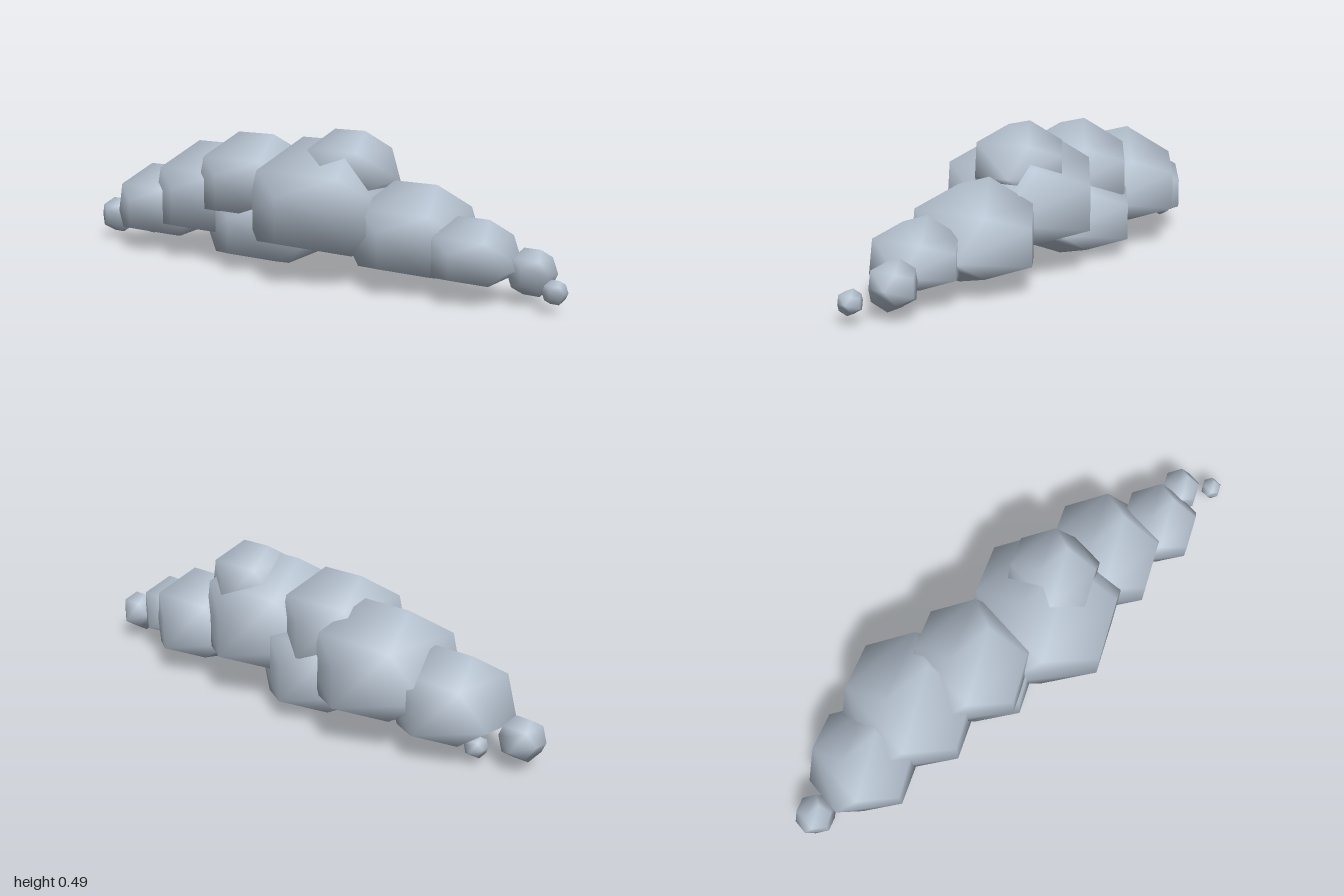
import * as THREE from 'three';
import { mergeVertices } from 'three/addons/utils/BufferGeometryUtils.js';

// Smoothly shaded dodecahedron of unit half-width; underside squashed by a factor
function puffGeometry(squash) {
  const raw = new THREE.DodecahedronGeometry(1 / 0.934, 0);
  raw.deleteAttribute('normal');
  raw.deleteAttribute('uv');
  const geo = mergeVertices(raw, 1e-3);
  const pos = geo.attributes.position;
  for (let i = 0; i < pos.count; i++) {
    if (pos.getY(i) < 0) pos.setY(i, pos.getY(i) * squash);
  }
  geo.computeVertexNormals();
  return geo;
}

export function createModel() {
  const group = new THREE.Group();
  group.name = 'cloud';
  const mat = new THREE.MeshStandardMaterial({ color: 0xb4c0ce });
  mat.name = 'cloud grey';

  const flatBottomed = puffGeometry(0.43);
  const round = puffGeometry(1);

  function addPuff(name, geo, [x, y, z, halfWidth]) {
    const mesh = new THREE.Mesh(geo, mat);
    mesh.name = name;
    mesh.position.set(x, y, z);
    mesh.scale.setScalar(halfWidth);
    group.add(mesh);
  }

  // Main body puffs with flattened undersides: x, y, z, half-width
  [
    [-0.69, 0.118, -0.006, 0.19],
    [-0.449, 0.167, -0.044, 0.2415],
    [-0.214, 0.246, 0.002, 0.214],
    [-0.172, 0.097, -0.025, 0.2245],
    [0.113, 0.188, 0.01, 0.2735],
    [0.178, 0.328, -0.031, 0.164],
    [0.44, 0.123, -0.0365, 0.2135],
    [0.68, 0.107, 0.0035, 0.1465],
  ].forEach((p, i) => addPuff(`bodyPuff${i + 1}`, flatBottomed, p));

  // Small round wisps at both ends
  [
    [-0.934, 0.09, 0.02, 0.067],
    [-0.825, 0.054, -0.055, 0.035],
    [0.853, 0.097, -0.054, 0.073],
    [0.962, 0.0635, 0.01, 0.0365],
  ].forEach((p, i) => addPuff(`wisp${i + 1}`, round, p));

  return group;
}
